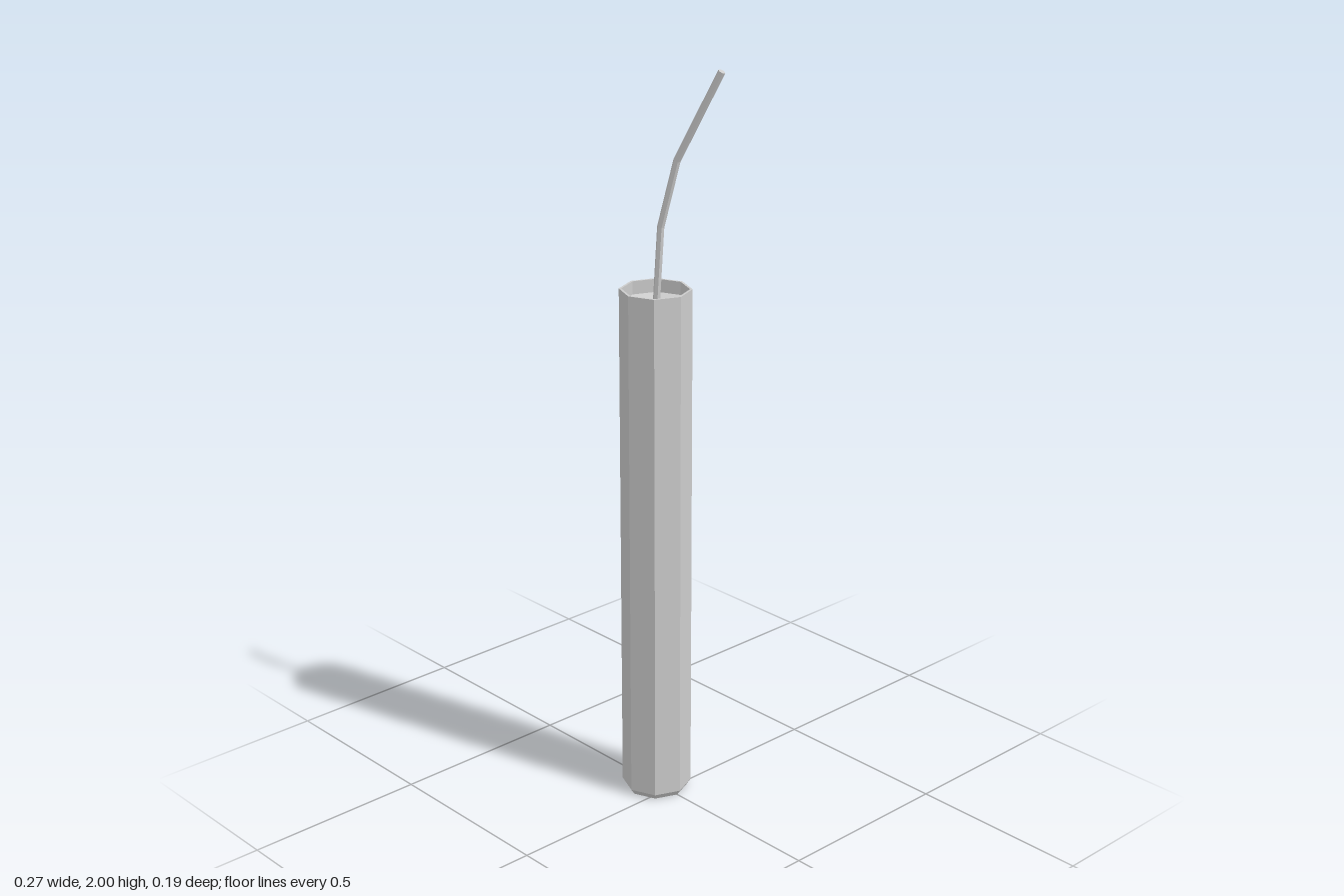
import * as THREE from 'three';

const material = new THREE.MeshStandardMaterial({ color: 0xcccccc, flatShading: true });
const CENTRE_X = -0.044;

function addMesh(group, geometry, name) {
  const mesh = new THREE.Mesh(geometry, material);
  mesh.name = name;
  group.add(mesh);
  return mesh;
}

// Curve whose even samples fall exactly on the given points
function polyline(points) {
  const curve = new THREE.Curve();
  const n = points.length - 1;
  curve.getPoint = (t, target = new THREE.Vector3()) => {
    const i = Math.min(Math.floor(t * n + 1e-9), n - 1);
    return target.lerpVectors(points[i], points[i + 1], t * n - i);
  };
  curve.getUtoTmapping = (u) => u;
  return curve;
}

export function createModel() {
  const model = new THREE.Group();
  model.name = 'fusedStick';

  // Octagonal casing: bevelled foot, thin rim and a dished recess on top
  const profile = [
    [0, 0], [0.083, 0], [0.0935, 0.016], [0.0935, 1.425],
    [0.087, 1.425], [0.087, 1.39], [0, 1.362],
  ].map(([r, y]) => new THREE.Vector2(r, y));
  addMesh(model, new THREE.LatheGeometry(profile, 8), 'casing').position.x = CENTRE_X;

  // Bent six-sided fuse
  const path = [
    [-0.045, 1.355, -0.001], [-0.026, 1.59, -0.001],
    [0.018, 1.765, -0.015], [0.128, 1.996, -0.059],
  ].map((p) => new THREE.Vector3(...p));
  const radius = 0.0095;
  const tube = new THREE.TubeGeometry(polyline(path), path.length - 1, radius, 6, false);
  const fuse = new THREE.Group();
  fuse.name = 'fuse';
  addMesh(fuse, tube, 'fuseCord');

  // End cap aligned with the last ring of the cord
  const last = path.length - 1;
  const cap = addMesh(fuse, new THREE.CircleGeometry(radius, 6), 'fuseTip');
  cap.quaternion.setFromRotationMatrix(new THREE.Matrix4().makeBasis(
    tube.normals[last], tube.binormals[last], tube.tangents[last]));
  cap.position.copy(path[last]);
  model.add(fuse);

  return model;
}
